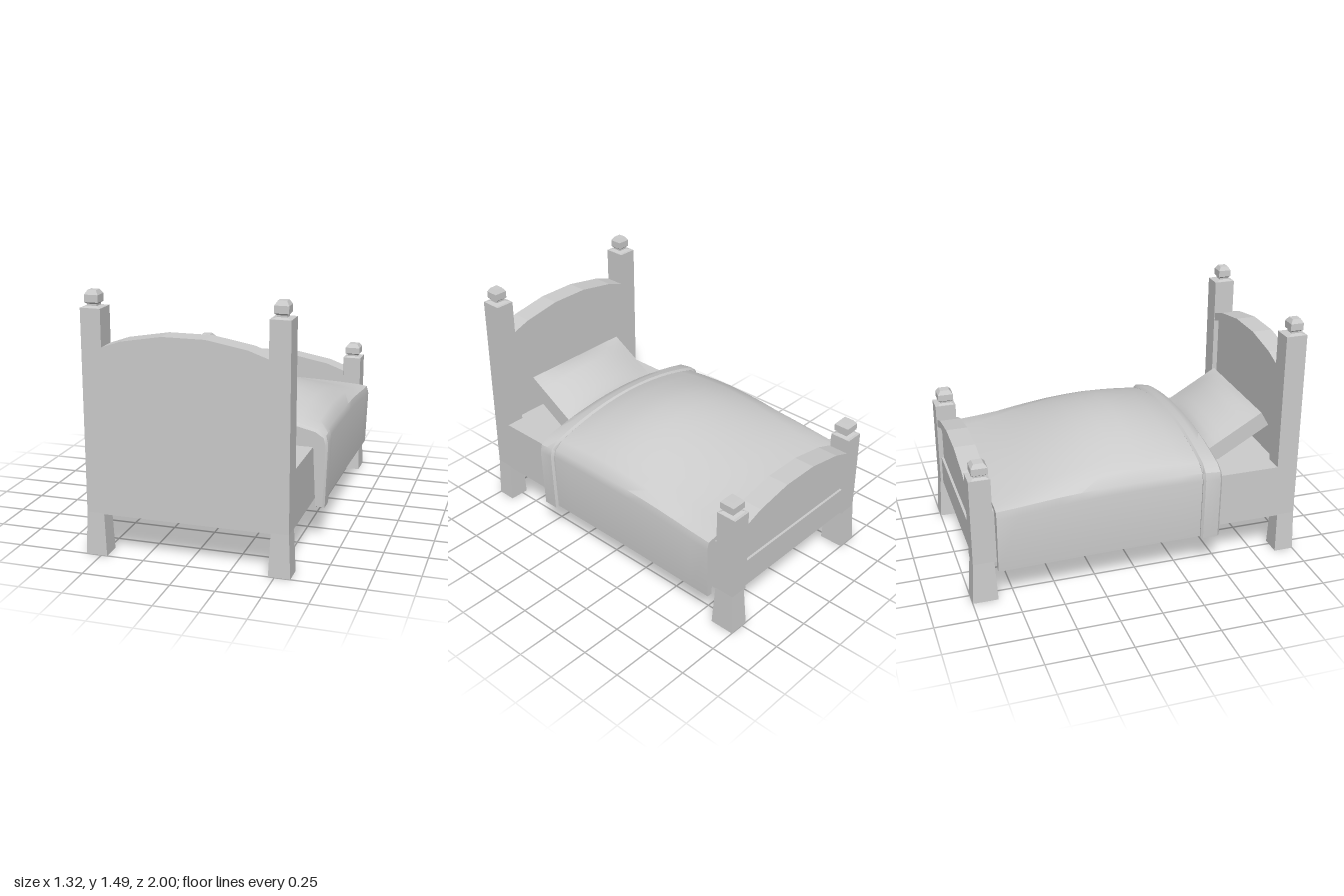
import * as THREE from 'three';
import { toCreasedNormals } from 'three/addons/utils/BufferGeometryUtils.js';

const flat = new THREE.MeshStandardMaterial({ color: 0xcccccc, flatShading: true });
const smooth = new THREE.MeshStandardMaterial({ color: 0xcccccc });

function add(parent, name, geometry, material = flat) {
  const mesh = new THREE.Mesh(geometry, material);
  mesh.name = name;
  parent.add(mesh);
  return mesh;
}

// Box given by its limits on each axis
function block(x0, x1, y0, y1, z0, z1) {
  return new THREE.BoxGeometry(x1 - x0, y1 - y0, z1 - z0)
    .translate((x0 + x1) / 2, (y0 + y1) / 2, (z0 + z1) / 2);
}

// Leg that flares towards the floor; spans are [min, max] at top and bottom
function legGeometry(xTop, xBottom, zTop, zBottom, height) {
  const g = new THREE.BoxGeometry(1, 1, 1);
  const p = g.attributes.position;
  for (let i = 0; i < p.count; i++) {
    const top = p.getY(i) > 0;
    const xs = top ? xTop : xBottom, zs = top ? zTop : zBottom;
    p.setXYZ(i, xs[p.getX(i) > 0 ? 1 : 0], top ? height : 0, zs[p.getZ(i) > 0 ? 1 : 0]);
  }
  return g;
}

// Square turned knob, profile as [half width, height]
function finialGeometry(half, height) {
  const profile = [[0.052, 0], [0.7 * half, 0.008], [0.7 * half, 0.018], [half, 0.3 * height],
    [half, 0.74 * height], [0.62 * half, height], [0, height]];
  const points = profile.map(([r, y]) => new THREE.Vector2(r * Math.SQRT2, y));
  return new THREE.LatheGeometry(points, 4, Math.PI / 4);
}

// Arched board or band between the posts
const arc = [[-0.464, 0], [-0.35, 0.5], [-0.12, 1], [0.12, 1], [0.35, 0.5], [0.464, 0]];
function archGeometry(endY, rise, z0, z1, bottomY, band) {
  const top = arc.map(([x, t]) => new THREE.Vector2(x, endY + rise * t));
  const low = band
    ? top.map(p => new THREE.Vector2(p.x, p.y - band)).reverse()
    : [new THREE.Vector2(0.464, bottomY), new THREE.Vector2(-0.464, bottomY)];
  return new THREE.ExtrudeGeometry(new THREE.Shape([...top, ...low]), { depth: z1 - z0, bevelEnabled: false })
    .translate(0, 0, z0);
}

// Domed cover with hanging sides; sections [z, centre height, edge height, half width, hem height], high z first
function coverGeometry(sections) {
  const us = [1, 0.83, 0.66, 0.5, 0.33, 0.16];
  const positions = [], index = [];
  let n = 0;
  for (const [z, top, edge, w, hem] of sections) {
    const shoulder = edge + 0.3 * (top - edge);
    const side = [[w - 0.013, hem], [w, edge - 0.045], [w - 0.012, edge],
      ...us.map(u => [u * (w - 0.06), shoulder + (top - shoulder) * (1 - u * u)])];
    const inside = [[0.596, hem], [0.582, 0.5], [0.58, 0.565], ...us.map(u => [u * 0.57, 0.57])];
    const full = (half, y) => [...half, [0, y], ...half.map(([x, h]) => [-x, h]).reverse()];
    const outer = full(side, top);
    n = outer.length;
    for (const [x, y] of [...outer, ...full(inside, 0.57).reverse()]) positions.push(x, y, z);
  }
  const ring = 2 * n, last = (sections.length - 1) * ring;
  const quad = (a, b, c, d) => index.push(a, b, c, a, c, d);
  for (let k = 0; k < last; k += ring) {
    for (let i = 0; i < ring; i++) {
      const j = (i + 1) % ring;
      quad(k + i, k + ring + i, k + ring + j, k + j);
    }
  }
  for (let i = 0; i < n - 1; i++) {
    const inner = ring - 1 - i;
    quad(i, i + 1, inner - 1, inner);
    quad(last + inner, last + inner - 1, last + i + 1, last + i);
  }
  const g = new THREE.BufferGeometry();
  g.setAttribute('position', new THREE.Float32BufferAttribute(positions, 3));
  g.setIndex(index);
  return toCreasedNormals(g, 0.6);
}

// Box whose broad faces swell towards the middle
function pillowGeometry(w, h, d, swell) {
  const g = new THREE.BoxGeometry(w, h, d, 10, 1, 8);
  const p = g.attributes.position;
  for (let i = 0; i < p.count; i++) {
    const u = 2 * p.getX(i) / w, v = 2 * p.getZ(i) / d;
    p.setY(i, p.getY(i) + Math.sign(p.getY(i)) * swell * (1 - u * u) * (1 - v ** 4));
  }
  return toCreasedNormals(g, 0.6);
}

export function createModel() {
  const bed = new THREE.Group();
  bed.name = 'bed';

  // Posts, legs and knobs at the four corners
  const ends = [
    { name: 'head', z: [0.868, 0.995], legTop: [0.888, 0.995], legBottom: [0.883, 1], top: 1.398, knob: [0.039, 0.092], knobZ: 0.937 },
    { name: 'foot', z: [-0.985, -0.86], legTop: [-0.985, -0.862], legBottom: [-1, -0.85], top: 0.775, knob: [0.047, 0.09], knobZ: -0.917 },
  ];
  for (const e of ends) {
    for (const s of [1, -1]) {
      const span = (a, b) => (s > 0 ? [a, b] : [-b, -a]);
      add(bed, e.name + 'Post', block(...span(0.462, 0.577), 0.245, e.top, ...e.z));
      add(bed, e.name + 'Leg', legGeometry(span(0.477, 0.577), span(0.465, 0.588), e.legTop, e.legBottom, 0.25));
      add(bed, e.name + 'Finial', finialGeometry(...e.knob)).position.set(s * 0.52, e.top, e.knobZ);
    }
  }

  // Headboard panel with arched rim
  add(bed, 'headboard', archGeometry(1.19, 0.08, 0.9, 0.995, 0.245));
  add(bed, 'headboardRim', archGeometry(1.19, 0.08, 0.872, 0.91, 0, 0.05));

  // Footboard panel with arched rim and bottom rail
  add(bed, 'footboard', archGeometry(0.685, 0.08, -0.955, -0.875, 0.245));
  add(bed, 'footboardRim', archGeometry(0.687, 0.083, -0.98, -0.852, 0, 0.05));
  add(bed, 'footRail', block(-0.464, 0.464, 0.245, 0.42, -0.97, -0.87));

  // Bed base
  add(bed, 'base', block(-0.577, 0.577, 0.245, 0.575, -0.9, 0.91));

  // Blanket and its folded-over band
  add(bed, 'blanket', coverGeometry([
    [0.42, 0.755, 0.637, 0.637, 0.222], [0.36, 0.78, 0.64, 0.64, 0.222], [0.24, 0.812, 0.643, 0.64, 0.222],
    [0.12, 0.832, 0.644, 0.64, 0.222], [0, 0.845, 0.643, 0.64, 0.221], [-0.12, 0.832, 0.641, 0.64, 0.221],
    [-0.24, 0.808, 0.638, 0.64, 0.22], [-0.36, 0.77, 0.633, 0.64, 0.218], [-0.48, 0.73, 0.625, 0.64, 0.216],
    [-0.6, 0.686, 0.614, 0.64, 0.214], [-0.72, 0.646, 0.602, 0.64, 0.212], [-0.85, 0.62, 0.592, 0.64, 0.21],
  ]), smooth);
  add(bed, 'blanketFold', coverGeometry([
    [0.48, 0.738, 0.632, 0.65, 0.222], [0.467, 0.755, 0.644, 0.661, 0.216], [0.42, 0.774, 0.648, 0.661, 0.216],
    [0.376, 0.788, 0.65, 0.661, 0.216], [0.364, 0.778, 0.638, 0.648, 0.222],
  ]), smooth);

  // Pillow leaning on the headboard
  const pillow = add(bed, 'pillow', pillowGeometry(0.74, 0.1, 0.43, 0.06), smooth);
  pillow.position.set(0, 0.695, 0.68);
  pillow.rotation.x = -Math.PI / 6;

  return bed;
}
